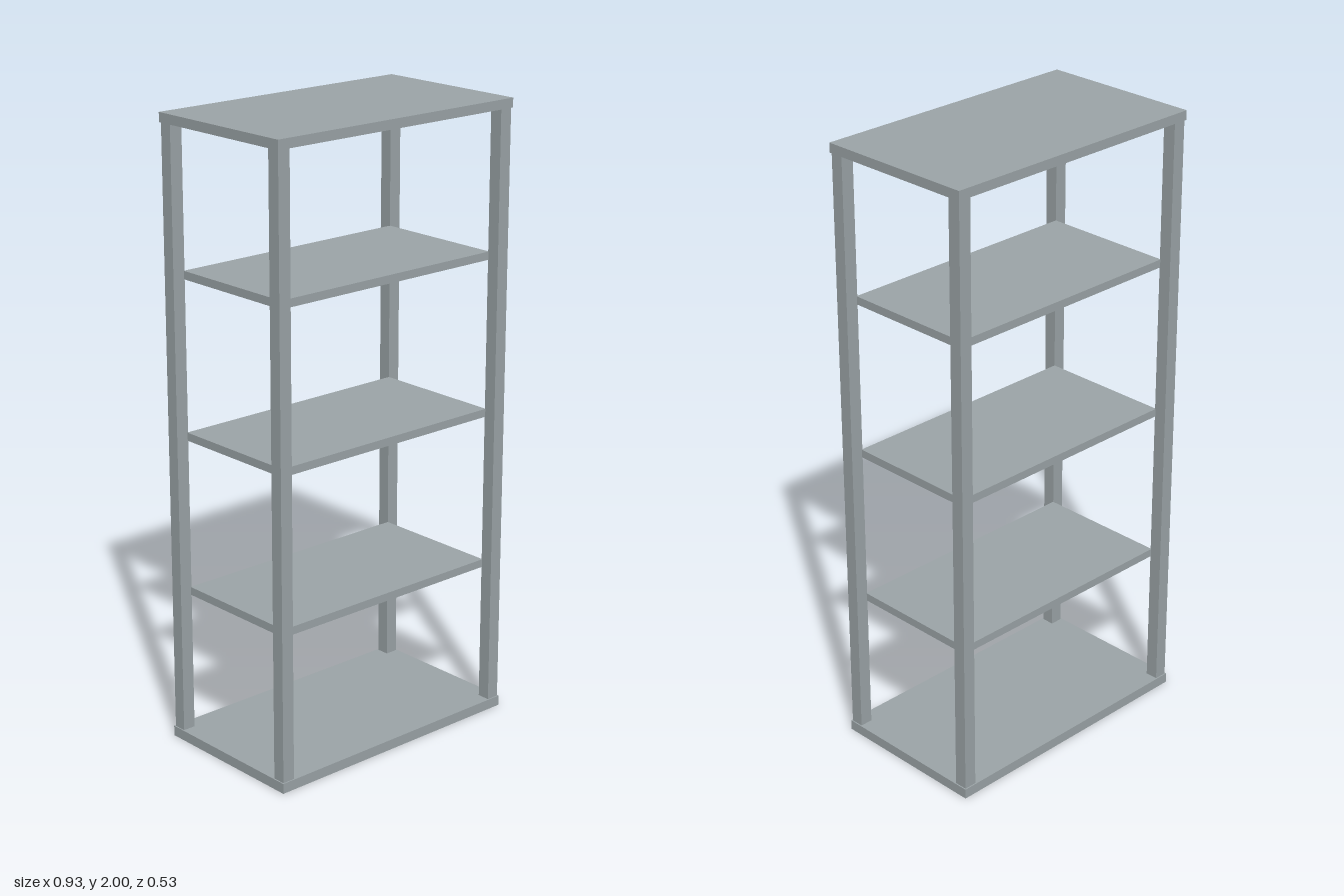
import * as THREE from 'three';

export function createModel() {
  const model = new THREE.Group();
  model.name = 'shelvingUnit';

  const steel = new THREE.MeshStandardMaterial({ color: 0x9ca5a8 });
  steel.name = 'greySteel';

  // Adds a box whose underside sits at height y
  function addBox(name, w, h, d, x, y, z) {
    const mesh = new THREE.Mesh(new THREE.BoxGeometry(w, h, d), steel);
    mesh.name = name;
    mesh.position.set(x, y + h / 2, z);
    model.add(mesh);
  }

  // Base and top slabs
  addBox('basePlate', 0.926, 0.033, 0.532, 0, 0, 0);
  addBox('topPlate', 0.926, 0.03, 0.532, 0, 1.97, 0);

  // Corner posts, slightly inset from the slab edges
  for (const x of [-1, 1]) {
    for (const z of [-1, 1]) {
      const name = (z > 0 ? 'front' : 'back') + (x > 0 ? 'Left' : 'Right') + 'Post';
      addBox(name, 0.042, 1.937, 0.042, x * 0.438, 0.033, z * 0.241);
    }
  }

  // Inner shelves, their corners meeting the inner corners of the posts
  [0.485, 0.992, 1.499].forEach((y, i) => {
    addBox('shelf' + (i + 1), 0.838, 0.026, 0.444, 0, y, 0);
  });

  return model;
}
